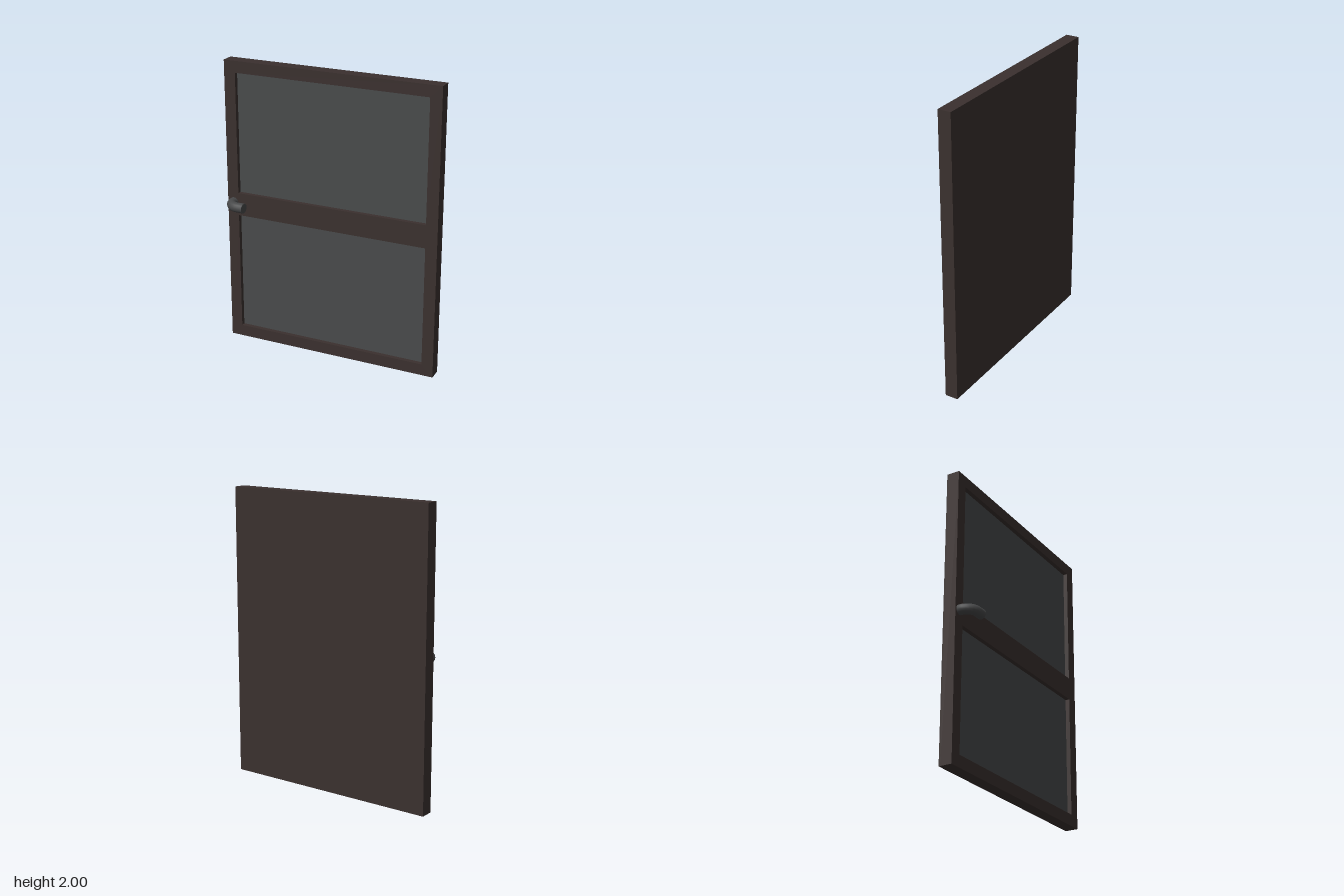
import * as THREE from 'three';

const W = 1.521, H = 2, T = 0.09; // door size
const RECESS = 0.03, BACK = 0.01;

function rect(shape, x0, y0, x1, y1) {
  shape.moveTo(x0, y0);
  shape.lineTo(x1, y0);
  shape.lineTo(x1, y1);
  shape.lineTo(x0, y1);
  shape.closePath();
  return shape;
}

export function createModel() {
  const model = new THREE.Group();
  const door = new THREE.Group();
  door.name = 'door';
  // The door stands slightly ajar
  door.rotation.y = 0.128;
  door.position.z = -0.0485;
  model.add(door);

  const wood = new THREE.MeshStandardMaterial({ color: 0x3a302e });
  const glass = new THREE.MeshStandardMaterial({ color: 0x484a4b });
  const metal = new THREE.MeshStandardMaterial({ color: 0x48494a });

  const add = (name, geometry, material, x = 0, y = 0, z = 0, parent = door) => {
    const mesh = new THREE.Mesh(geometry, material);
    mesh.name = name;
    mesh.position.set(x, y, z);
    parent.add(mesh);
    return mesh;
  };

  // Frame with two openings, closed by a board at the back
  const openings = [[0.08, 0.92], [1.08, 1.92]];
  const outline = rect(new THREE.Shape(), -W / 2, 0, W / 2, H);
  for (const [y0, y1] of openings) outline.holes.push(rect(new THREE.Path(), -0.68, y0, 0.68, y1));
  add('frame', new THREE.ExtrudeGeometry(outline, { depth: T - BACK, bevelEnabled: false }),
    wood, 0, 0, -T / 2 + BACK);
  add('backBoard', new THREE.BoxGeometry(W, H, BACK), wood, 0, H / 2, -T / 2 + BACK / 2);

  // Recessed panes
  const paneDepth = T - RECESS - BACK;
  openings.forEach(([y0, y1], i) => {
    add(i ? 'upperPane' : 'lowerPane', new THREE.BoxGeometry(1.36, y1 - y0, paneDepth),
      glass, 0, (y0 + y1) / 2, T / 2 - RECESS - paneDepth / 2);
  });

  // Bent lever handle with a flat end
  const handle = new THREE.Group();
  handle.name = 'handle';
  handle.position.y = 1.011;
  door.add(handle);
  const path = new THREE.CatmullRomCurve3([
    [-0.716, 0.035], [-0.713, 0.078], [-0.676, 0.121], [-0.594, 0.129],
  ].map(([x, z]) => new THREE.Vector3(x, 0, z)));
  add('lever', new THREE.TubeGeometry(path, 10, 0.034, 16), metal, 0, 0, 0, handle);
  const end = path.getPoint(1);
  const cap = add('leverEnd', new THREE.CircleGeometry(0.034, 16), metal, end.x, end.y, end.z, handle);
  cap.quaternion.setFromUnitVectors(new THREE.Vector3(0, 0, 1), path.getTangent(1));

  return model;
}
